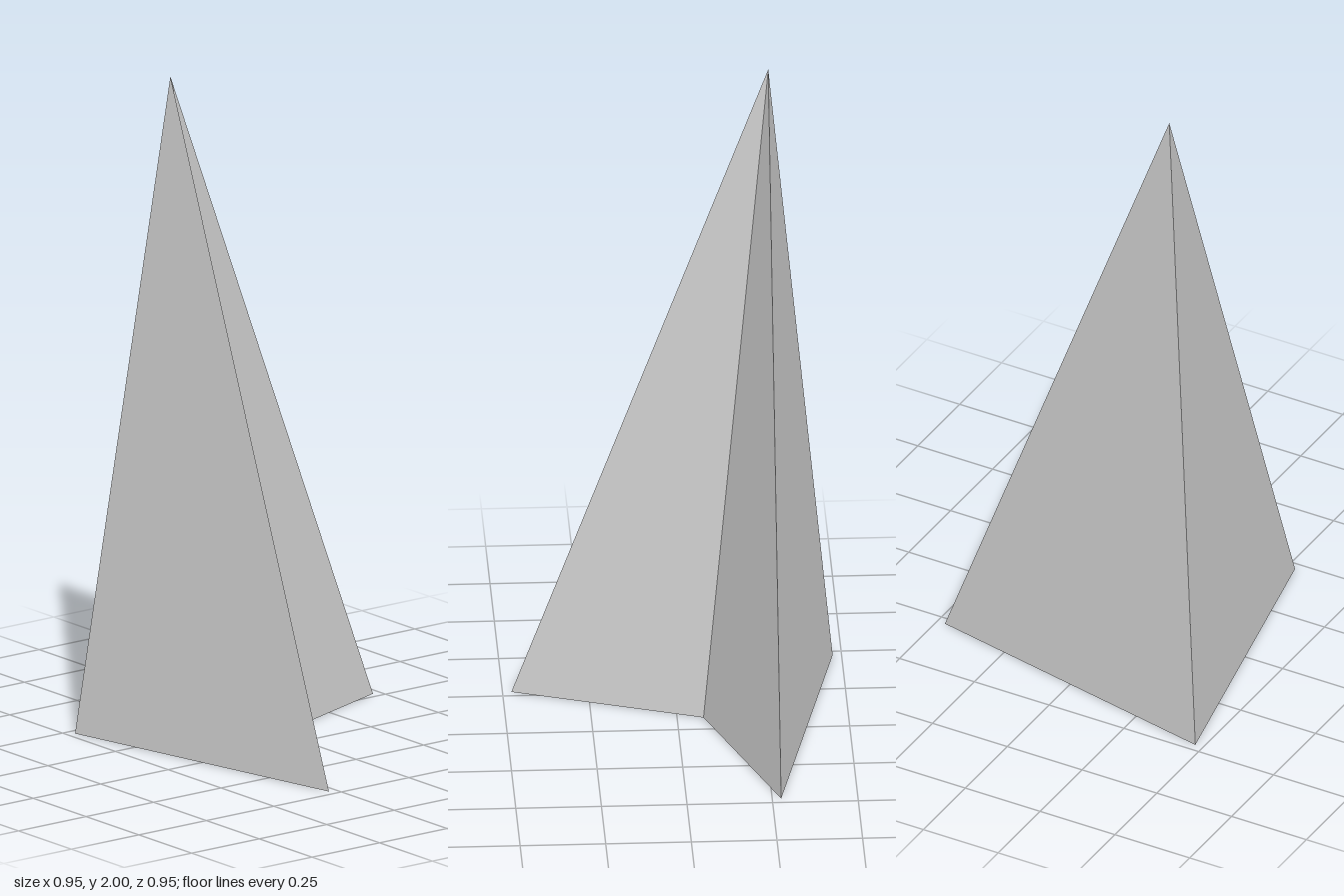
import * as THREE from 'three';

export function createModel() {
  const group = new THREE.Group();
  const material = new THREE.MeshStandardMaterial({ color: 0xcccccc, flatShading: true });

  // Arrowhead-shaped base, counter-clockwise from above: back corner, front tip, notch, left tip
  const apex = [-0.276, 2, -0.276];
  const base = [
    [-0.474, 0, -0.474],
    [-0.276, 0, 0.474],
    [-0.077, 0, -0.077],
    [0.474, 0, -0.276],
  ];
  const [back, front, notch, left] = base;

  // One sloping face per base edge, then the base split from the back corner to the notch
  const points = [];
  base.forEach((p, i) => points.push(...p, ...base[(i + 1) % base.length], ...apex));
  points.push(...back, ...notch, ...front, ...back, ...left, ...notch);

  const geometry = new THREE.BufferGeometry();
  geometry.setAttribute('position', new THREE.Float32BufferAttribute(points, 3));
  geometry.computeVertexNormals();

  const spike = new THREE.Mesh(geometry, material);
  spike.name = 'notchedPyramid';
  group.add(spike);
  return group;
}
